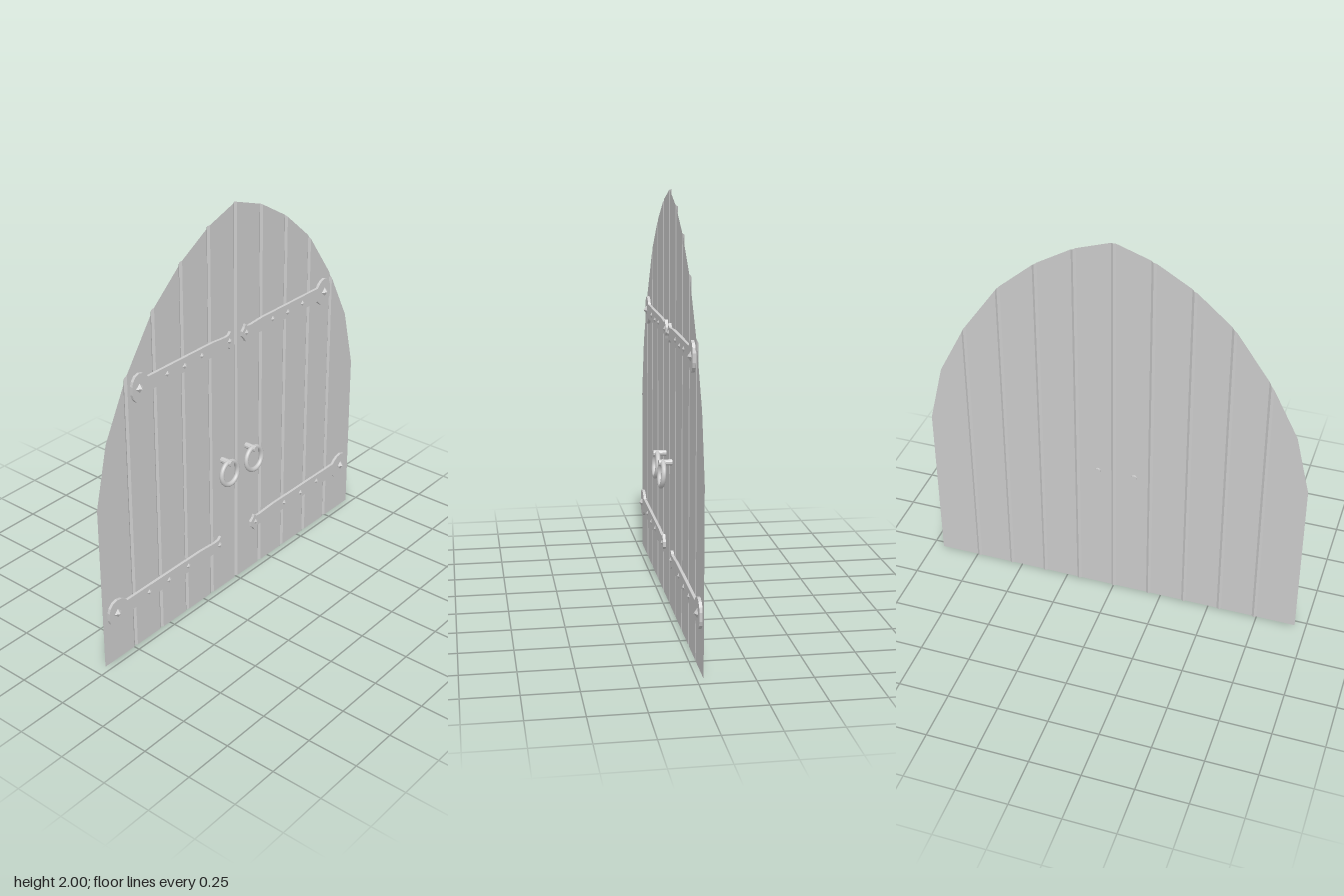
import * as THREE from 'three';

const mat = new THREE.MeshStandardMaterial({ color: 0xcccccc, flatShading: true });
const sheetMat = new THREE.MeshStandardMaterial({ color: 0xcccccc, flatShading: true, side: THREE.DoubleSide });
const smoothMat = new THREE.MeshStandardMaterial({ color: 0xcccccc });

// Everything is built facing +z (u across, y up, d outwards), then turned to face +x.
const FACE = -0.03, GROOVE = -0.038, HALF_GROOVE = 0.012;

// half outline of the pointed arch: [distance from centre, height]
const ARCH = [[0, 2], [0.185, 1.937], [0.371, 1.827], [0.556, 1.667], [0.738, 1.41], [0.873, 1.148], [0.945, 0.85]];

function archHeight(u) {
  const a = Math.abs(u);
  for (let i = 1; i < ARCH.length; i++) {
    const [u0, y0] = ARCH[i - 1], [u1, y1] = ARCH[i];
    if (a <= u1) return y0 + (y1 - y0) * (a - u0) / (u1 - u0);
  }
  return ARCH[ARCH.length - 1][1];
}

function addMesh(parent, name, geometry, material = mat) {
  const mesh = new THREE.Mesh(geometry, material);
  mesh.name = name;
  parent.add(mesh);
  return mesh;
}

// Planked sheet folded into V grooves at each seam
function doorPanel() {
  const columns = [[-0.945, FACE], [-0.873, FACE]];
  for (let i = -4; i <= 4; i++) {
    const u = Math.sign(i) * ARCH[Math.abs(i)][0];
    columns.push([u - HALF_GROOVE, FACE], [u, GROOVE], [u + HALF_GROOVE, FACE]);
  }
  columns.push([0.873, FACE], [0.945, FACE]);
  const positions = [], index = [];
  columns.forEach(([u, d], i) => {
    positions.push(u, 0, d, u, archHeight(u), d);
    if (i > 0) {
      const a = 2 * i - 2;
      index.push(a, a + 2, a + 3, a, a + 3, a + 1);
    }
  });
  const g = new THREE.BufferGeometry();
  g.setAttribute('position', new THREE.Float32BufferAttribute(positions, 3));
  g.setIndex(index);
  const flat = g.toNonIndexed();
  flat.computeVertexNormals();
  return flat;
}

// Upper edge of a strap, from spear tip to rounded hinge end: [along, half height]
const STRAP = [
  [0, 0.012], [0.016, 0.03], [0.023, 0.045], [0.036, 0.031], [0.056, 0.028], [0.15, 0.035],
  [0.582, 0.035], [0.592, 0.048], [0.612, 0.064], [0.637, 0.07], [0.66, 0.062], [0.676, 0.042], [0.682, 0.02]
];
// Studs: [along, height offset, half size, projection]
const STUDS = [
  [0.03, 0, 0.016, 0.008], [0.226, 0, 0.015, 0.008], [0.342, -0.006, 0.016, 0.008],
  [0.458, 0, 0.015, 0.008], [0.637, 0, 0.023, 0.016]
];

function hinge(name, side, start, y, stretch) {
  const group = new THREE.Group();
  group.name = name;
  const at = s => side * (start + s * stretch);
  const outline = [
    ...STRAP.map(([s, h]) => new THREE.Vector2(at(s), h)),
    ...STRAP.slice().reverse().map(([s, h]) => new THREE.Vector2(at(s), -h))
  ];
  const strap = addMesh(group, 'hingeStrap',
    new THREE.ExtrudeGeometry(new THREE.Shape(outline), { depth: 0.014, bevelEnabled: false }));
  strap.position.z = FACE;
  for (const [s, dy, r, h] of STUDS) {
    const cone = new THREE.ConeGeometry(r, h, 4, 1, true);
    cone.rotateX(Math.PI / 2);
    addMesh(group, 'pyramidStud', cone).position.set(at(s), dy, FACE + 0.014 + h / 2);
  }
  group.position.y = y;
  return group;
}

// Ring pull hanging slightly outwards from a peg through the door
function handle(name, u) {
  const group = new THREE.Group();
  group.name = name;
  const peg = new THREE.CylinderGeometry(0.015, 0.015, 0.073, 10);
  peg.rotateX(Math.PI / 2);
  addMesh(group, 'handlePeg', peg).position.set(0, 0.728, -0.003);
  const ring = addMesh(group, 'handleRing', new THREE.TorusGeometry(0.058, 0.012, 10, 32), smoothMat);
  ring.position.set(0, 0.673, 0.019);
  ring.rotation.x = -0.09;
  group.position.x = u;
  return group;
}

export function createModel() {
  const model = new THREE.Group();
  model.name = 'archedDoubleDoor';
  const door = new THREE.Group();
  door.name = 'door';
  addMesh(door, 'plankPanel', doorPanel(), sheetMat);
  door.add(
    hinge('upperLeftHinge', -1, 0.028, 1.343, 1),
    hinge('upperRightHinge', 1, 0.035, 1.343, 1),
    hinge('lowerLeftHinge', -1, 0.103, 0.265, 1.19),
    hinge('lowerRightHinge', 1, 0.103, 0.265, 1.19),
    handle('leftHandle', -0.104),
    handle('rightHandle', 0.079)
  );
  door.rotation.y = Math.PI / 2;
  model.add(door);
  return model;
}
